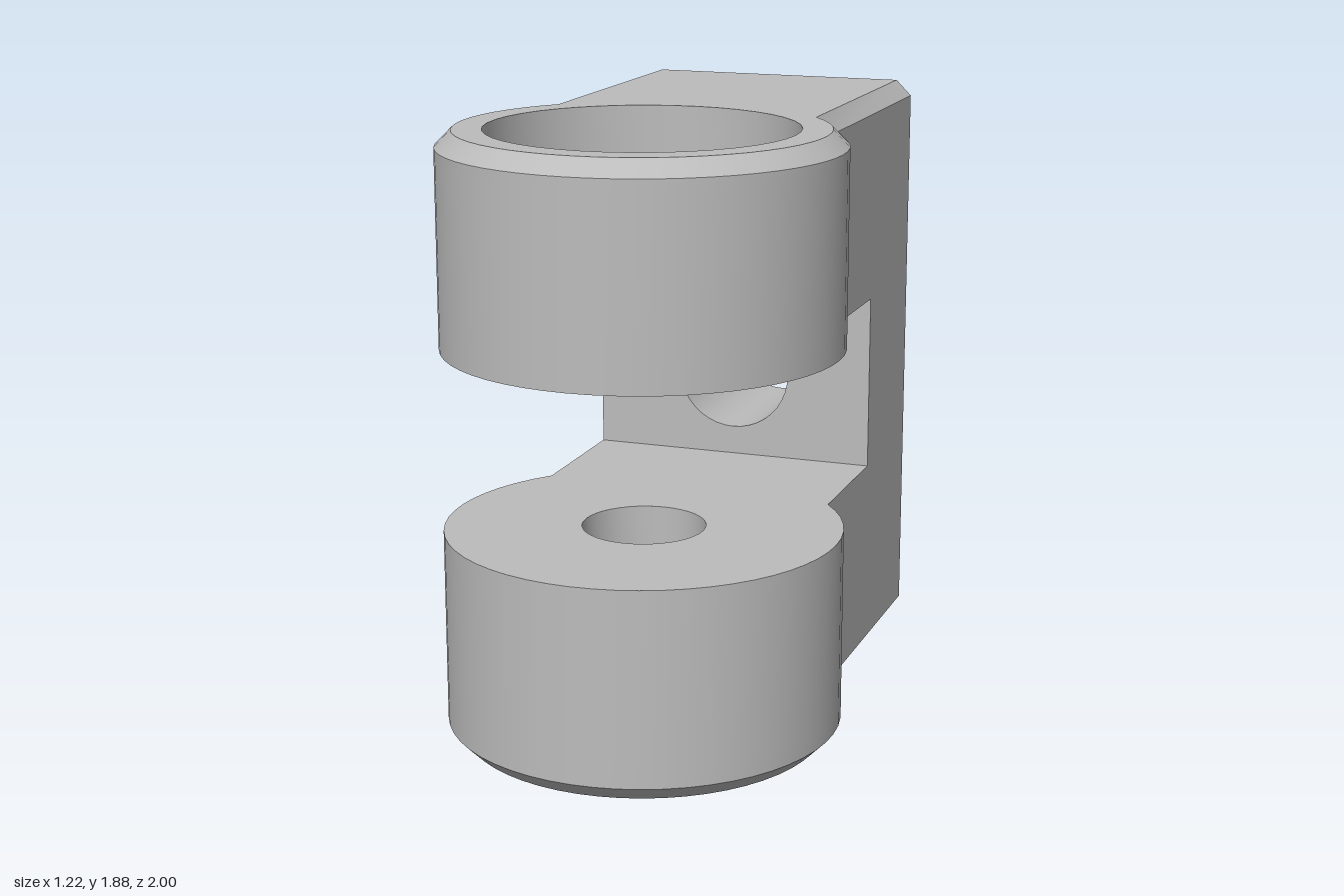
import * as THREE from 'three';
import { toCreasedNormals } from 'three/addons/utils/BufferGeometryUtils.js';

const H = 1.875;                   // full height
const R = 0.61, CZ = 0.39;         // eye radius and its centre along z
const W = 0.47;                    // half width of the block
const SLOT = 1.22;                 // upper face of the slot
const WEB = -0.455;                // front face of the rear web
const EDGE = 0.05, BACK = 0.09;    // chamfer sizes
const BORE = 0.47, PIN = 0.19, DEPTH = 0.47;
const N = 40;                      // sides of the round parts

const steel = new THREE.MeshStandardMaterial({ color: 0xbcbcbc });
steel.name = 'plain steel grey';

function add(parent, name, geometry) {
  const mesh = new THREE.Mesh(toCreasedNormals(geometry, 0.5), steel);
  mesh.name = name;
  parent.add(mesh);
  return mesh;
}

const circle = (r, cx, cy) => Array.from({ length: N }, (_, i) => {
  const a = (i / N) * Math.PI * 2;
  return new THREE.Vector2(cx + r * Math.cos(a), cy + r * Math.sin(a));
});

// Flat plate from an outline with one round hole
function plate(points, hole) {
  const shape = new THREE.Shape(points);
  shape.holes.push(new THREE.Path(hole));
  return new THREE.ShapeGeometry(shape);
}

// Keyhole outline in (x, -z), counterclockwise seen from above
function keyhole(inset, corners) {
  const w = W - inset, r = R - inset, phi = Math.acos(w / r);
  const points = corners.map(([x, s]) => new THREE.Vector2(x, s));
  for (const [x, s] of [...corners].reverse()) points.push(new THREE.Vector2(-x, s));
  for (let i = 0; i <= N; i++) {
    const a = Math.PI - phi + (i / N) * (Math.PI + 2 * phi);
    points.push(new THREE.Vector2(r * Math.cos(a), -CZ + r * Math.sin(a)));
  }
  return points;
}

// Wall through a stack of matching outlines
function loft(rings, closed) {
  const pos = [];
  const put = (p, y) => pos.push(p.x, y, -p.y);
  for (let j = 0; j < rings.length - 1; j++) {
    const lo = rings[j], hi = rings[j + 1], n = lo.points.length;
    for (let i = 0; i < (closed ? n : n - 1); i++) {
      const k = (i + 1) % n;
      put(lo.points[i], lo.y); put(lo.points[k], lo.y); put(hi.points[k], hi.y);
      if (hi.points[i].distanceTo(hi.points[k]) < 1e-6) continue;
      put(lo.points[i], lo.y); put(hi.points[k], hi.y); put(hi.points[i], hi.y);
    }
  }
  const g = new THREE.BufferGeometry();
  g.setAttribute('position', new THREE.Float32BufferAttribute(pos, 3));
  return g;
}

// Inward-facing revolved wall; profile runs from top to bottom
const revolve = (profile) =>
  new THREE.LatheGeometry(profile.map(([r, y]) => new THREE.Vector2(r, y)), N);

function buildArm(name) {
  const arm = new THREE.Group();
  arm.name = name;

  // Outer wall with chamfered back corners and rim
  const full = keyhole(0, [[W, 1 - BACK], [W - BACK, 1]]);
  const mid = keyhole(0, [[W, 1 - BACK], [W - EDGE, 1 - BACK + EDGE]]);
  const top = keyhole(EDGE, [[W - EDGE, 1 - BACK], [W - EDGE, 1 - BACK]]);
  add(arm, 'armWall', loft([
    { y: SLOT, points: full }, { y: H - BACK, points: full },
    { y: H - EDGE, points: mid }, { y: H, points: top },
  ], true));

  // End face around the counterbore
  const face = top.filter((p, i) => i === 0 || p.distanceTo(top[i - 1]) > 1e-6);
  add(arm, 'endFace', plate(face, circle(BORE, 0, -CZ)).rotateX(-Math.PI / 2).translate(0, H, 0));

  // Slot face around the pin hole
  const inner = full.slice(4).map((p) => new THREE.Vector2(p.x, -p.y));
  inner.push(new THREE.Vector2(W, WEB), new THREE.Vector2(-W, WEB));
  add(arm, 'slotFace', plate(inner, circle(PIN, 0, CZ)).rotateX(Math.PI / 2).translate(0, SLOT, 0));

  // Counterbore and pin hole
  add(arm, 'steppedBore', revolve([
    [BORE, H], [BORE, H - DEPTH], [PIN, H - DEPTH], [PIN, SLOT],
  ]).translate(0, 0, CZ));
  return arm;
}

function buildWeb() {
  const web = new THREE.Group();
  web.name = 'rearWeb';
  const y0 = H - SLOT, cy = H / 2;

  // Side walls with chamfered back corners
  const right = [[W, -WEB], [W, 1 - BACK], [W - BACK, 1]].map(([x, s]) => new THREE.Vector2(x, s));
  const left = right.map((p) => new THREE.Vector2(-p.x, p.y)).reverse();
  for (const [name, points] of [['leftWebWall', right], ['rightWebWall', left]]) {
    add(web, name, loft([{ y: y0, points }, { y: SLOT, points }], false));
  }

  // Front and back faces around the bolt hole
  const rect = (w) => [[-w, y0], [w, y0], [w, SLOT], [-w, SLOT]].map(([x, y]) => new THREE.Vector2(x, y));
  add(web, 'webFront', plate(rect(W), circle(PIN, 0, cy)).translate(0, 0, WEB));
  add(web, 'webBack', plate(rect(W - BACK), circle(PIN, 0, cy)).rotateY(Math.PI).translate(0, 0, -1));

  // Bolt hole
  add(web, 'boltHole', revolve([[PIN, WEB], [PIN, -1]]).rotateX(Math.PI / 2).translate(0, cy, 0));
  return web;
}

export function createModel() {
  const model = new THREE.Group();
  model.name = 'clevis';
  const lower = buildArm('lowerArm');
  lower.rotation.z = Math.PI;
  lower.position.y = H;
  model.add(buildArm('upperArm'), lower, buildWeb());
  return model;
}
